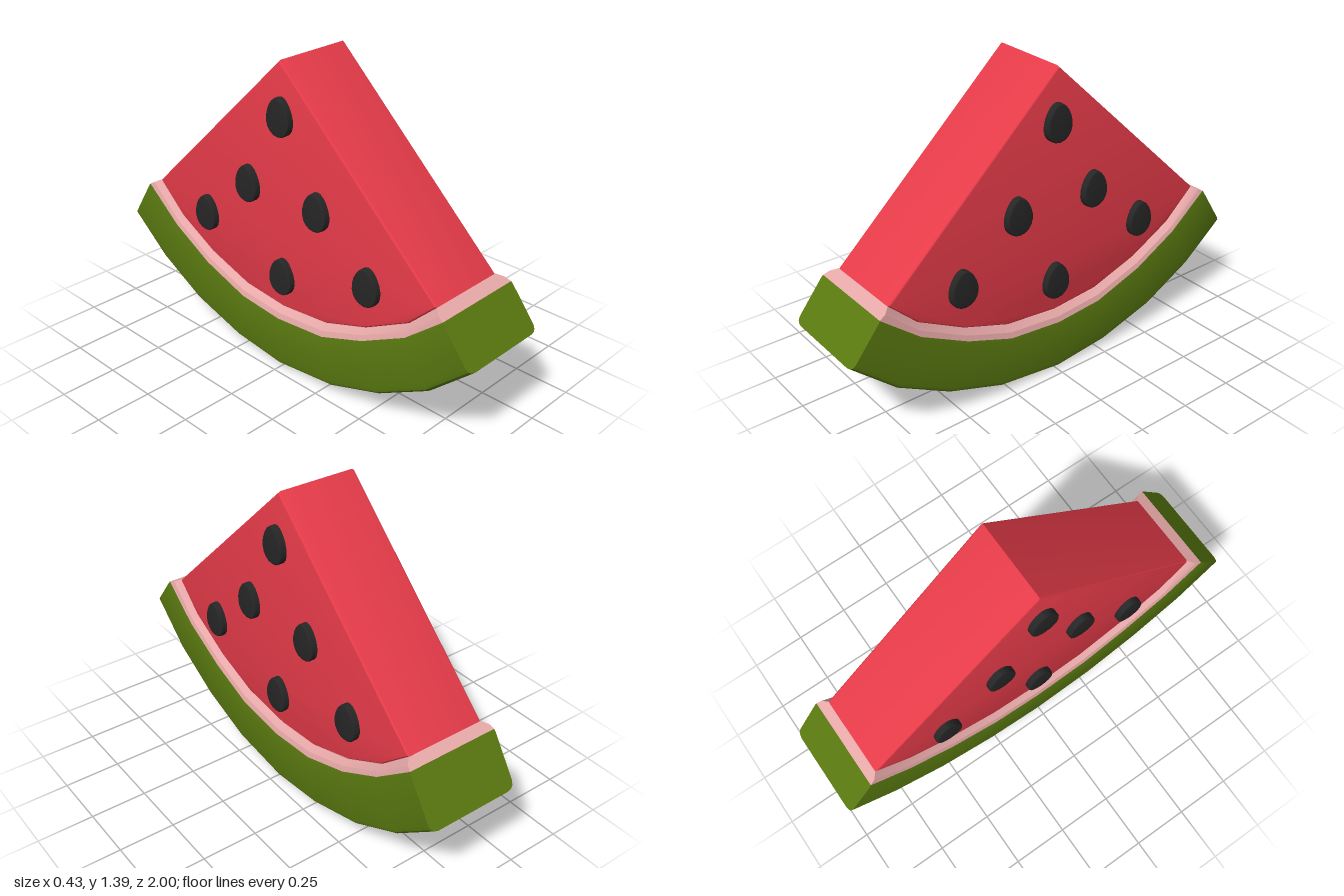
import * as THREE from 'three';
import { toCreasedNormals } from 'three/addons/utils/BufferGeometryUtils.js';

const mat = (name, color) => {
  const m = new THREE.MeshStandardMaterial({ color });
  m.name = name;
  return m;
};

// Side profile arcs as [z, y], running front to back
const fleshArc = [[0.81, 0.63], [0.68, 0.505], [0.465, 0.39], [0.245, 0.315], [-0.01, 0.29],
  [-0.235, 0.31], [-0.465, 0.385], [-0.67, 0.495], [-0.82, 0.63]];
const rindArc = [[0.865, 0.605], [0.69, 0.46], [0.47, 0.345], [0.25, 0.265], [-0.01, 0.24],
  [-0.235, 0.26], [-0.47, 0.34], [-0.68, 0.455], [-0.865, 0.605]];
const skinArc = [[1, 0.435], [0.805, 0.26], [0.56, 0.125], [0.295, 0.035], [-0.01, 0],
  [-0.28, 0.03], [-0.555, 0.11], [-0.8, 0.24], [-1, 0.4]];

// Sweep a mirrored section of [t between the arcs, half width] along two arcs
function loft(inner, outer, half) {
  const section = [...half, ...half.slice().reverse().map(([t, x]) => [t, -x])];
  const n = section.length;
  const pos = [], idx = [];
  inner.forEach(([z, y], i) => {
    const [oz, oy] = outer[i];
    section.forEach(([t, x]) => pos.push(x, y + (oy - y) * t, z + (oz - z) * t));
  });
  const last = (inner.length - 1) * n;
  for (let i = 0; i < last; i += n) {
    for (let j = 0; j < n; j++) {
      const a = i + j, b = i + (j + 1) % n;
      idx.push(a, b, a + n, b, b + n, a + n);
    }
  }
  for (let j = 1; j < n - 1; j++) idx.push(0, j + 1, j, last, last + j, last + j + 1);
  const g = new THREE.BufferGeometry();
  g.setAttribute('position', new THREE.Float32BufferAttribute(pos, 3));
  g.setIndex(idx);
  return toCreasedNormals(g, 0.45);
}

// Extrude a [z, y] outline across the slice, with softened edges
function slab(points, halfWidth, bevel) {
  const shape = new THREE.Shape(points.map(([z, y]) => new THREE.Vector2(-z, y)));
  const depth = 2 * (halfWidth - bevel);
  const g = new THREE.ExtrudeGeometry(shape, {
    depth, bevelEnabled: true, bevelThickness: bevel, bevelSize: bevel, bevelOffset: -bevel, bevelSegments: 3,
  });
  g.translate(0, 0, -depth / 2).rotateY(Math.PI / 2);
  return toCreasedNormals(g, 0.45);
}

export function createModel() {
  const group = new THREE.Group();
  group.name = 'melonSlice';
  const add = (name, geometry, material) => {
    const mesh = new THREE.Mesh(geometry, material);
    mesh.name = name;
    group.add(mesh);
    return mesh;
  };

  // Red wedge
  add('flesh', slab([...fleshArc, [-0.012, 1.392]], 0.185, 0.012), mat('fleshRed', 0xe63b49));

  // Pale band flaring from the flesh out to the rind
  add('paleBand', loft(fleshArc, rindArc, [[0, 0.182], [0.5, 0.206], [1, 0.213]]), mat('palePink', 0xf2b0b0));

  // Green rind with rounded outer edges
  add('rind', loft(rindArc, skinArc,
    [[0, 0.213], [0.06, 0.215], [0.87, 0.215], [0.94, 0.209], [0.98, 0.198], [1, 0.18]]), mat('rindGreen', 0x5a7a10));

  // Seeds pass right through and stand proud on both sides
  const egg = [];
  for (let i = 0; i < 20; i++) {
    const a = (i / 20) * Math.PI * 2;
    egg.push([0.063 * Math.cos(a) * (1 - 0.2 * Math.sin(a)), 0.083 * Math.sin(a)]);
  }
  const seedGeometry = slab(egg, 0.215, 0.008);
  const seedBlack = mat('seedBlack', 0x262626);
  [[0, 1.165], [0.2, 0.817], [-0.2, 0.817], [0.475, 0.587], [-0.475, 0.587], [0, 0.447]].forEach(([z, y], i) => {
    add('seed' + (i + 1), seedGeometry, seedBlack).position.set(0, y, z);
  });

  return group;
}
